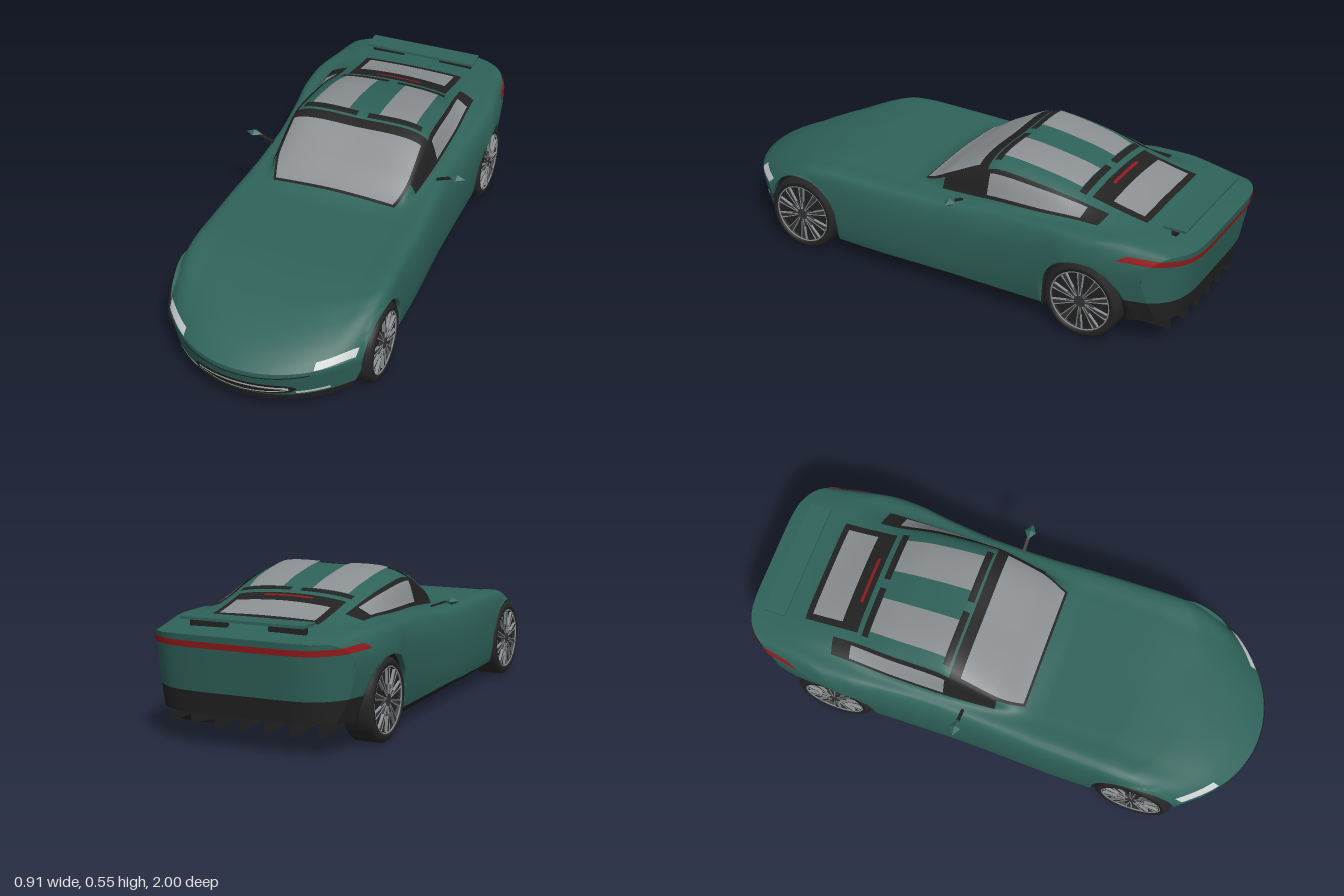
import * as THREE from 'three';

const mat = (name, color, side = THREE.FrontSide) => {
  const m = new THREE.MeshStandardMaterial({ color, side });
  m.name = name;
  return m;
};
const paint = mat('green paint', 0x2f635a, THREE.DoubleSide);
const trim = mat('black trim', 0x222222, THREE.DoubleSide);
const glass = mat('grey glass', 0x8c9092, THREE.DoubleSide);
const red = mat('red lamp', 0x941a1c, THREE.DoubleSide);
const lamp = mat('white lamp', 0xc9cdcd, THREE.DoubleSide);
const rubber = mat('tyre rubber', 0x262626);
const rimDark = mat('dark rim', 0x343537);
const rimLight = mat('light rim', 0x8b8e90);

// Lower side stations: s, bottom edge x y, skirt top x y, widest point x y
const LOWER = [
  [1, .33, .07, .352, .10, .372, .17],
  [.96, .335, .062, .36, .095, .385, .2],
  [.82, .35, .06, .378, .085, .398, .265],
  [.3, .36, .057, .385, .08, .397, .28],
  [-.1, .36, .057, .375, .08, .385, .29],
  [-.45, .36, .057, .38, .085, .40, .31],
  [-.75, .36, .06, .395, .12, .413, .335],
  [-.9, .36, .1, .39, .195, .405, .335],
  [-1, .33, .12, .36, .2, .378, .33]];
// Upper stations: s, shoulder x y, cabin base x y, roof edge x y, centre y
const UPPER = [
  [1, .362, .212, .25, .208, .13, .205, .204],
  [.96, .368, .25, .25, .24, .13, .232, .23],
  [.9, .375, .29, .26, .275, .13, .265, .262],
  [.82, .378, .325, .27, .308, .13, .297, .293],
  [.7, .378, .348, .27, .34, .13, .33, .328],
  [.5, .375, .357, .27, .36, .14, .358, .356],
  [.2, .368, .358, .275, .362, .18, .362, .362],
  [.12, .365, .358, .285, .368, .24, .374, .386],
  [0, .36, .362, .3, .378, .265, .435, .455],
  [-.155, .358, .372, .315, .392, .262, .51, .532],
  [-.2, .358, .375, .318, .396, .257, .522, .544],
  [-.4, .37, .39, .322, .406, .25, .5, .522],
  [-.6, .385, .403, .32, .418, .235, .452, .474],
  [-.77, .385, .405, .31, .418, .235, .424, .43],
  [-1, .345, .388, .28, .398, .2, .402, .403]];

// Monotone cubic interpolation of one table at s
function lookup(T, s) {
  let i = 0;
  while (i < T.length - 2 && s < T[i + 1][0]) i++;
  const h = T[i + 1][0] - T[i][0], t = (s - T[i][0]) / h;
  const slope = (k, c) => (T[k + 1][c] - T[k][c]) / (T[k + 1][0] - T[k][0]);
  const tangent = (k, c) => {
    if (k === 0) return slope(0, c);
    if (k === T.length - 1) return slope(k - 1, c);
    const a = slope(k - 1, c), b = slope(k, c);
    return a * b > 0 ? 2 * a * b / (a + b) : 0;
  };
  return T[i].slice(1).map((_, j) => {
    const c = j + 1, t2 = t * t, t3 = t2 * t;
    return (2 * t3 - 3 * t2 + 1) * T[i][c] + (t3 - 2 * t2 + t) * h * tangent(i, c)
      + (3 * t2 - 2 * t3) * T[i + 1][c] + (t3 - t2) * h * tangent(i + 1, c);
  });
}

// Bow the nose and tail in plan, and lean both end faces
function warp(s, x, y) {
  const a = THREE.MathUtils.smoothstep(s, .3, 1), b = THREE.MathUtils.smoothstep(-s, .35, 1);
  return s - a * (1.24 * x * x + 2.5 * x ** 4 + .3 * Math.max(0, .2 - y))
    + b * (48 * x ** 6 + .18 * Math.max(0, .4 - y));
}

const WHEEL_Z = [.61, -.615], WHEEL_R = .15, ARCH_R = .163;
function arch(z) {
  for (const c of WHEEL_Z) {
    const d = Math.abs(z - c);
    if (d < ARCH_R) return WHEEL_R + Math.sqrt(ARCH_R * ARCH_R - d * d);
  }
  return 0;
}

// Cross-section at s; v runs 0..12 from left bottom over the roof to right bottom
const sections = new Map();
function section(s) {
  if (!sections.has(s)) {
    const l = lookup(LOWER, s), u = lookup(UPPER, s), p = [];
    for (const q of [l, u]) for (let i = 0; i < 6; i += 2) p.push(new THREE.Vector3(q[i], q[i + 1], 0));
    const other = p.slice().reverse().map(q => new THREE.Vector3(-q.x, q.y, 0));
    sections.set(s, new THREE.CatmullRomCurve3([...p, new THREE.Vector3(0, u[6], 0), ...other]));
  }
  return sections.get(s);
}
function surface(s, v) {
  const p = section(s).getPoint(v / 12);
  p.z = warp(s, p.x, p.y);
  p.y = Math.max(p.y, arch(p.z));
  return p;
}

// Grid surface from fn(u, v), both 0..1
function grid(fn, nu, nv) {
  const pos = [], idx = [], w = nv + 1;
  for (let i = 0; i <= nu; i++) for (let j = 0; j <= nv; j++) pos.push(...fn(i / nu, j / nv).toArray());
  for (let i = 0; i < nu; i++) for (let j = 0; j < nv; j++) {
    const a = i * w + j, b = a + w;
    idx.push(a, b, a + 1, b, b + 1, a + 1);
  }
  const g = new THREE.BufferGeometry();
  g.setAttribute('position', new THREE.Float32BufferAttribute(pos, 3));
  g.setIndex(idx);
  g.computeVertexNormals();
  return g;
}
const mix = THREE.MathUtils.lerp;

// Thin panel lying on the body between two section lines and two stations
function panel(v0, v1, s0, s1, lift) {
  return grid((u, t) => {
    const s = mix(s0, s1, u), v = mix(v0, v1, t), p = surface(s, v), e = .004;
    const ds = surface(s - e, v).sub(surface(s + e, v));
    const dv = surface(s, v + e).sub(surface(s, v - e));
    return p.addScaledVector(ds.cross(dv).normalize(), lift);
  }, 24, 20);
}
// Thin panel on the nose: half width w, centre height and half height by x
const nosePanel = (x0, x1, mid, half, lift) => grid((u, t) => {
  const x = mix(x0, x1, u), y = mid(x) + (2 * t - 1) * half(x);
  return new THREE.Vector3(x, y, warp(1, x, y) + lift);
}, 32, 2);

export function createModel() {
  const car = new THREE.Group();
  car.name = 'sports car';
  const add = (name, geo, m, parent = car) => {
    const mesh = new THREE.Mesh(geo, m);
    mesh.name = name;
    parent.add(mesh);
    return mesh;
  };

  // Body shell and dark skirts
  const shell = (v0, v1, n) => grid((u, t) => surface(1 - 2 * u, mix(v0, v1, t)), 240, n);
  add('bodyShell', shell(1, 11, 60), paint);
  add('leftSkirt', shell(0, 1, 3), trim);
  add('rightSkirt', shell(11, 12, 3), trim);

  // End faces
  const cap = (s, v0, v1, n) => grid((u, t) => {
    const p = section(s).getPoint(mix(v0, v1, t) / 12);
    p.x *= s * (2 * u - 1);
    p.z = warp(s, p.x, p.y);
    return p;
  }, 32, n);
  for (const [s, name] of [[1, 'front'], [-1, 'rear']]) {
    add(name + 'Fascia', cap(s, 1, 6, 25), paint);
    add(name + 'LowerTrim', cap(s, 0, 1, 4), trim);
  }

  // Flat floor with wheel wells
  const cols = [-1, -.275, -.27, -.18, -.09, 0, .09, .18, .27, .275, 1];
  add('floor', grid((u, t) => {
    const s = 1 - 2 * u, e = section(s).getPoint(0), c = cols[Math.round(t * 10)];
    const x = Math.abs(c) === 1 ? c * e.x : c, z = warp(s, x, e.y);
    return new THREE.Vector3(x, Math.abs(x) > .272 ? Math.max(e.y, arch(z)) : e.y, z);
  }, 240, 10), trim);

  // Windows and roof panes
  add('windscreenFrame', panel(4.85, 7.15, .125, -.165, .004), trim);
  add('windscreen', panel(5.02, 6.98, .115, -.125, .007), glass);
  add('rearWindowFrame', panel(5.13, 6.87, -.56, -.78, .004), trim);
  add('rearWindow', panel(5.25, 6.75, -.63, -.755, .007), glass);
  add('highBrakeLight', panel(5.62, 6.38, -.58, -.592, .007), red);
  for (const side of [1, -1]) {
    const tag = side > 0 ? 'left' : 'right';
    const strip = (a, b, ...r) => side > 0 ? panel(a, b, ...r) : panel(12 - b, 12 - a, ...r);
    add(tag + 'SideWindowFrame', strip(4.1, 4.88, .02, -.65, .004), trim);
    add(tag + 'SideWindow', strip(4.22, 4.76, -.18, -.57, .007), glass);
    add(tag + 'RoofPane', strip(5.22, 5.77, -.2, -.51, .006), glass);
    add(tag + 'RoofFrontBar', strip(5.1, 5.92, -.175, -.2, .005), trim);
    add(tag + 'RoofRearBar', strip(5.1, 5.92, -.512, -.538, .005), trim);
    add(tag + 'Headlight', strip(3.1, 4.03, .993, .968, .004), lamp);
    // Intake blade beside the grille
    add(tag + 'IntakeBlade', side > 0 ? nosePanel(.19, .29, () => .118, () => .006, .005)
      : nosePanel(-.29, -.19, () => .118, () => .006, .005), lamp);
    // Mirror
    const head = add(tag + 'Mirror', new THREE.OctahedronGeometry(1), paint);
    head.scale.set(.034, .015, .022);
    head.position.set(side * .423, .416, -.09);
    const stalk = add(tag + 'MirrorStalk', new THREE.BoxGeometry(.07, .007, .012), trim);
    stalk.position.set(side * .375, .403, -.09);
    stalk.rotation.z = side * .35;
  }

  // Nose: grille, bright blades and shut line
  const round = w => x => Math.sqrt(Math.max(0, 1 - (x / w) ** 4));
  add('grille', nosePanel(-.195, .195, () => .136, x => .027 * round(.195)(x), .004), trim);
  add('grilleUpperBlade', nosePanel(-.17, .17, x => .15 - .25 * x * x, () => .005, .007), lamp);
  add('grilleLowerBlade', nosePanel(-.17, .17, x => .12 + .5 * x * x, () => .003, .007), lamp);
  add('noseLine', nosePanel(-.24, .24, x => .199 + .08 * x * x, () => .0025, .004), trim);

  // Tail lamp wrapping round both corners
  const sideX = (s, y) => {
    let a = 2, b = 3;
    for (let i = 0; i < 20; i++) {
      const m = (a + b) / 2;
      if (section(s).getPoint(m / 12).y < y) a = m; else b = m;
    }
    return section(s).getPoint(a / 12).x;
  };
  add('tailLamp', grid((u, t) => {
    const y = mix(.358, .38, t), k = Math.min(u, 1 - u), sign = u < .5 ? 1 : -1;
    const s = k < .2 ? mix(-.92, -1, k / .2) : -1;
    const x = k < .2 ? sign * sideX(s, y) : mix(1, -1, (u - .2) / .6) * sideX(-1, y);
    return new THREE.Vector3(x * 1.01, y, warp(s, x, y) - .004);
  }, 60, 2), red);

  // Rear wing on two dark posts
  add('rearWing', new THREE.BoxGeometry(.47, .01, .085), paint).position.set(0, .445, -.893);
  for (const x of [-.15, .15])
    add('wingPost', new THREE.BoxGeometry(.14, .04, .02), trim).position.set(x, .422, -.885);

  // Diffuser fins
  for (let i = -3; i <= 3; i++) {
    const x = i * .095, back = -warp(-1, x, .1);
    const shape = new THREE.Shape([[.72, .075], [back, .072], [back + .004, .17], [.8, .14]]
      .map(p => new THREE.Vector2(...p)));
    const fin = add('diffuserFin', new THREE.ExtrudeGeometry(shape, { depth: .008, bevelEnabled: false }), trim);
    fin.rotation.y = Math.PI / 2;
    fin.position.x = x - .004;
  }

  // Wheels, built along y with the outer face up
  const profile = [[.02, -.05], [.11, -.05], [.135, -.0575], [.15, -.044], [.15, .044],
    [.137, .0575], [.12, .0575], [.116, .04]].map(p => new THREE.Vector2(...p));
  const tyreGeo = new THREE.LatheGeometry(profile, 40);
  const ringGeo = new THREE.TorusGeometry(.117, .003, 6, 40).rotateX(Math.PI / 2);
  const discGeo = new THREE.CylinderGeometry(.118, .118, .01, 40);
  const spokeGeo = new THREE.BoxGeometry(.092, .01, .014).translate(.066, .05, 0);
  const edgeGeo = new THREE.BoxGeometry(.09, .01, .0028).translate(.068, .052, 0);
  const hubGeo = new THREE.CylinderGeometry(.022, .026, .016, 20);
  WHEEL_Z.forEach((z, i) => [1, -1].forEach(side => {
    const wheel = new THREE.Group();
    wheel.name = (side > 0 ? 'left' : 'right') + (i ? 'Rear' : 'Front') + 'Wheel';
    add('tyre', tyreGeo, rubber, wheel);
    add('rimBack', discGeo, trim, wheel).position.y = .036;
    add('rimRing', ringGeo, rimLight, wheel).position.y = .054;
    add('hub', hubGeo, rimDark, wheel).position.y = .048;
    for (let k = 0; k < 10; k++) {
      const a = k * Math.PI / 5;
      add('spoke', spokeGeo, rimDark, wheel).rotation.y = a;
      for (const d of [-.1, .1]) add('spokeEdge', edgeGeo, rimLight, wheel).rotation.y = a + d;
    }
    wheel.rotation.z = -side * Math.PI / 2;
    wheel.position.set(side * .342, WHEEL_R, z);
    car.add(wheel);
  }));
  return car;
}
